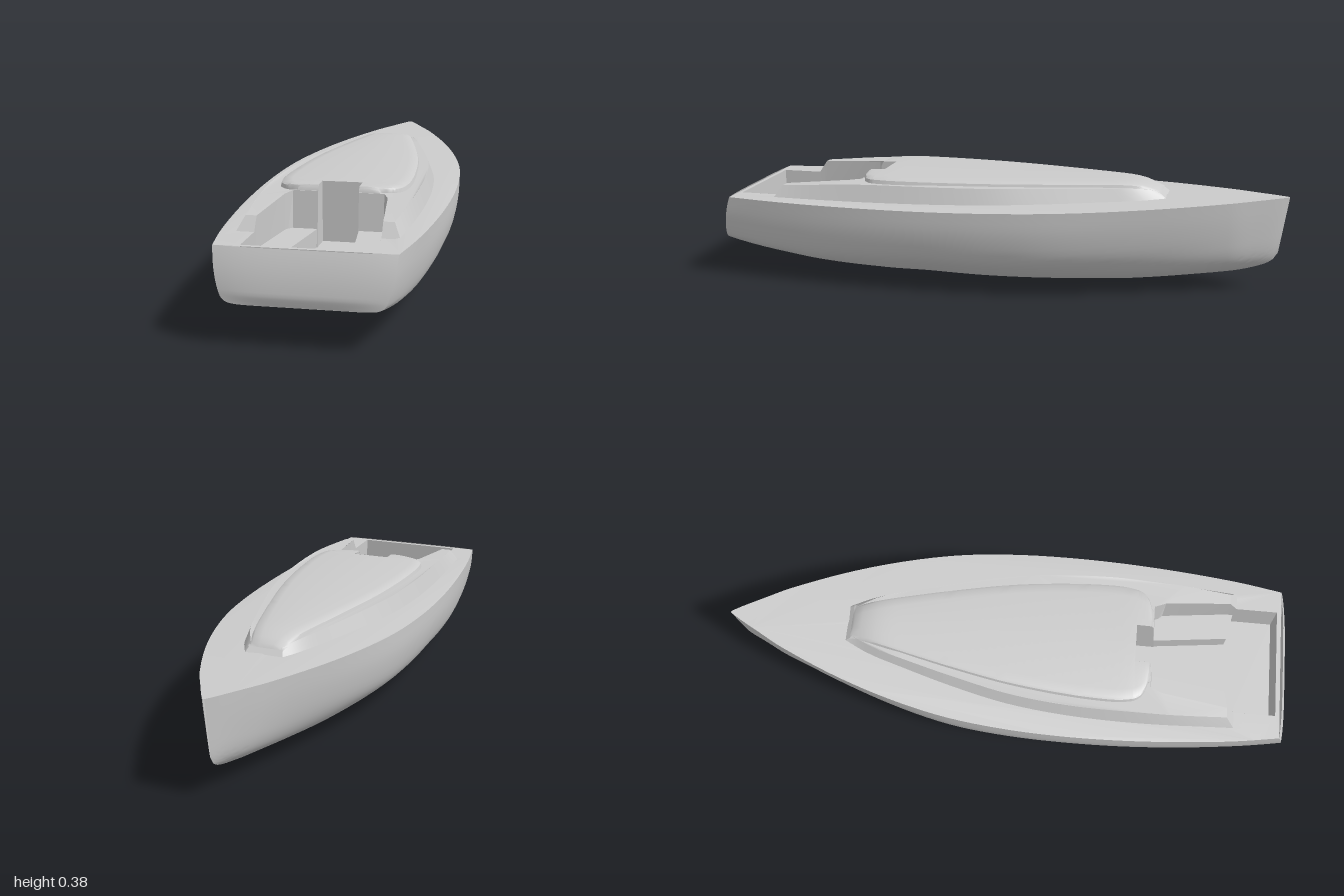
import * as THREE from 'three';
import { toCreasedNormals } from 'three/addons/utils/BufferGeometryUtils.js';

const material = new THREE.MeshStandardMaterial({ color: 0xcccccc, side: THREE.DoubleSide });

// Smooth curve through [z, value] pairs
function curve(points) {
  const slope = (i) => {
    const a = points[Math.max(i - 1, 0)], b = points[Math.min(i + 1, points.length - 1)];
    return (b[1] - a[1]) / (b[0] - a[0]);
  };
  return (z) => {
    let i = 0;
    while (i < points.length - 2 && z > points[i + 1][0]) i++;
    const [z0, v0] = points[i], [z1, v1] = points[i + 1];
    const h = z1 - z0, t = THREE.MathUtils.clamp((z - z0) / h, 0, 1), t2 = t * t, t3 = t2 * t;
    return v0 * (2 * t3 - 3 * t2 + 1) + v1 * (3 * t2 - 2 * t3)
      + h * (slope(i) * (t3 - 2 * t2 + t) + slope(i + 1) * (t3 - t2));
  };
}

const range = (a, b, n) => Array.from({ length: n + 1 }, (_, i) => a + (b - a) * i / n);
const flip = ([x, ...rest]) => [-x, ...rest];
const mirrored = (half) => [...half, ...half.slice().reverse().map(flip)];

// Surface through rows of [x, y, z] points
function loft(rows, crease = 0.6) {
  const n = rows[0].length, index = [];
  for (let i = 0; i < rows.length - 1; i++) {
    for (let j = 0; j < n - 1; j++) {
      const a = i * n + j, b = a + n;
      index.push(a, b, a + 1, b, b + 1, a + 1);
    }
  }
  const g = new THREE.BufferGeometry();
  g.setAttribute('position', new THREE.Float32BufferAttribute(rows.flat(2), 3));
  g.setIndex(index);
  return toCreasedNormals(g, crease);
}

const plan = (pts) => pts.map(([x, z]) => new THREE.Vector2(x, -z));

// Horizontal sheet with outline in x, z and height given by a rule
function sheet(outline, height, hole) {
  const shape = new THREE.Shape(plan(outline));
  if (hole) shape.holes.push(new THREE.Path(plan(hole)));
  const g = new THREE.ShapeGeometry(shape).rotateX(-Math.PI / 2);
  const p = g.attributes.position;
  for (let i = 0; i < p.count; i++) p.setY(i, height(p.getZ(i)));
  g.computeVertexNormals();
  return g;
}

// Hull lines
const beam = curve([[-1, 0.003], [-0.97, 0.022], [-0.9, 0.061], [-0.8, 0.115], [-0.6, 0.2], [-0.4, 0.265],
  [-0.2, 0.31], [0, 0.332], [0.2, 0.339], [0.4, 0.335], [0.6, 0.322], [0.8, 0.301], [0.96, 0.275]]);
const sheer = curve([[-1, 0.34], [-0.6, 0.325], [-0.2, 0.311], [0.2, 0.301], [0.6, 0.297], [0.96, 0.297]]);
const keel = curve([[-1, 0.14], [-0.98, 0.112], [-0.93, 0.09], [-0.8, 0.061], [-0.6, 0.031], [-0.4, 0.012], [0, 0.001],
  [0.3, 0.01], [0.4, 0.018], [0.6, 0.05], [0.8, 0.094], [0.96, 0.13]]);
const section = (pts) => new THREE.SplineCurve(pts.map((p) => new THREE.Vector2(...p))).getPoints(24);
const mid = section([[0, 0], [0.22, 0.035], [0.56, 0.14], [0.76, 0.26], [0.91, 0.43], [0.985, 0.72], [1, 1]]);
const aft = section([[0, 0], [0.35, 0], [0.72, 0.005], [0.86, 0.07], [0.92, 0.25], [0.97, 0.6], [1, 1]]);
const fore = section([[0, 0], [0.3, 0.06], [0.56, 0.16], [0.72, 0.3], [0.83, 0.5], [0.93, 0.75], [1, 1]]);

function hullHalf(z) {
  const s = THREE.MathUtils.smoothstep(z, 0.2, 0.96), b = THREE.MathUtils.smoothstep(-z, 0.1, 0.9);
  const rake = 0.03 * THREE.MathUtils.smoothstep(-z, 0.8, 1), tuck = 0.032 * THREE.MathUtils.smoothstep(z, 0.7, 0.96);
  return mid.map((m, i) => {
    const p = m.clone().lerp(aft[i], s).lerp(fore[i], b);
    const y = keel(z) + (sheer(z) - keel(z)) * p.y;
    return [beam(z) * p.x, y, z + rake * (1 - p.y) + tuck * (1 - p.y * p.y)];
  });
}

// Cabin trunk and roof lines
const trunkBase = curve([[-0.585, 0.066], [-0.5, 0.108], [-0.4, 0.14], [-0.2, 0.198], [0, 0.243], [0.2, 0.265],
  [0.4, 0.271], [0.6, 0.266], [0.8, 0.252]]);
const trunkTop = curve([[-0.56, 0.348], [-0.5, 0.362], [-0.4, 0.365], [0.3, 0.365], [0.5, 0.361], [0.77, 0.341]]);
const roofWidth = curve([[-0.555, 0.063], [-0.4, 0.102], [-0.2, 0.148], [0, 0.187], [0.2, 0.21], [0.36, 0.217],
  [0.43, 0.21], [0.46, 0.197], [0.48, 0.172], [0.49, 0.14]]);
const roofTop = curve([[-0.555, 0.356], [-0.5, 0.375], [-0.42, 0.382], [0.4, 0.382], [0.49, 0.38]]);

// Cockpit rim: x, z, height of the wall top, slope of the wall foot in z
const floorY = 0.178;
const rim = [[0.195, 0.945, 0.297, 0], [0.195, 0.8, 0.297, 0], [0.195, 0.77, 0.341, 0], [0.168, 0.54, 0.357, 0],
  [0.15, 0.5, 0.361, 0.02], [0.067, 0.5, 0.361, 0.02], [0.067, 0.49, 0.38, 0], [0.067, 0.44, 0.382, 0]];
const cockpit = mirrored(rim);

export function createModel() {
  const group = new THREE.Group();
  const add = (name, geometry) => {
    const mesh = new THREE.Mesh(geometry, material);
    mesh.name = name;
    group.add(mesh);
  };

  // Hull shell and slightly bowed transom
  const stations = [...range(-1, -0.8, 12), ...range(-0.75, 0.96, 40)];
  add('hull', loft(stations.map((z) => {
    const h = hullHalf(z);
    return [...h.slice(1).reverse().map(flip), ...h];
  })));
  add('transom', loft(hullHalf(0.96).map(([x, y, z]) => {
    const bow = 0.009 * THREE.MathUtils.clamp((y - 0.13) / 0.03, 0, 1);
    return range(-1, 1, 16).map((u) => [x * u, y, z + bow * (1 - u ** 4)]);
  })));

  // Deck with the cockpit opening
  add('deck', sheet(mirrored(stations.map((z) => [beam(z), z])), sheer, cockpit));

  // Cabin trunk: sloping sides running aft into the coamings
  const trunkZ = range(-0.585, 0.8, 40);
  const topZ = (z) => THREE.MathUtils.mapLinear(z, -0.585, 0.8, -0.555, 0.77);
  const topX = (z) => trunkBase(z) - 0.01 - 0.012 * THREE.MathUtils.smoothstep(z, -0.585, -0.1);
  const base = mirrored([[0.195, sheer(0.8), 0.8],
    ...trunkZ.slice().reverse().map((z) => [trunkBase(z), sheer(z), z])]);
  const top = mirrored([[0.195, trunkTop(0.77), 0.77],
    ...trunkZ.slice().reverse().map((z) => [topX(z), trunkTop(topZ(z)), topZ(z)])]);
  add('cabinTrunkSides', loft([base, top], 0.5));
  const inner = rim.slice(3).filter((p) => p[1] !== 0.49);
  add('cabinTrunkTop', sheet([...top.map(([x, , z]) => [x, z]),
    ...inner.map(flip), ...inner.slice().reverse()], trunkTop));

  // Raised roof panel, split around the companionway
  const roofHalf = (z, xi, flat) => {
    const w = roofWidth(z), t = roofTop(z), b = trunkTop(z) - 0.004;
    return [[w, b], [w - 0.004, t - 0.009], [w - 0.012, t - 0.004], [Math.max(w - 0.04, xi), t], [xi, t]]
      .map(([x, y]) => [x, flat ? b : y, z]);
  };
  add('roofPanel', loft([mirrored(roofHalf(-0.565, 0, true)),
    ...range(-0.555, 0.44, 36).map((z) => mirrored(roofHalf(z, 0)))]));
  for (const side of [1, -1]) {
    const rows = [...range(0.44, 0.49, 10).map((z) => roofHalf(z, 0.067)),
      roofHalf(0.49, 0.067).map(([x, y]) => [x, y - 0.006, 0.495]),
      roofHalf(0.49, 0.067, true).map(([x, y]) => [x, y, 0.498])];
    add('roofPanelAft', loft(rows.map((r) => r.map(([x, y, z]) => [side * x, y, z]))));
  }

  // Cockpit well and companionway
  const closed = [...cockpit, cockpit[0]];
  add('cockpitWalls', loft([closed.map(([x, z, , f]) => [x, floorY, z + f]),
    closed.map(([x, z, y]) => [x, y, z])], 0.3));
  add('cockpitFloor', sheet(cockpit, () => floorY));

  // Side benches
  for (const side of [1, -1]) {
    const outline = [[0.195, 0.795], [0.1, 0.775], [0.067, 0.5], [0.15, 0.5], [0.168, 0.54], [0.195, 0.77]]
      .map(([x, z]) => [side * x, z]);
    const bench = new THREE.ExtrudeGeometry(new THREE.Shape(plan(outline)), { depth: 0.06, bevelEnabled: false });
    add('bench', bench.rotateX(-Math.PI / 2).translate(0, floorY, 0));
  }
  return group;
}
